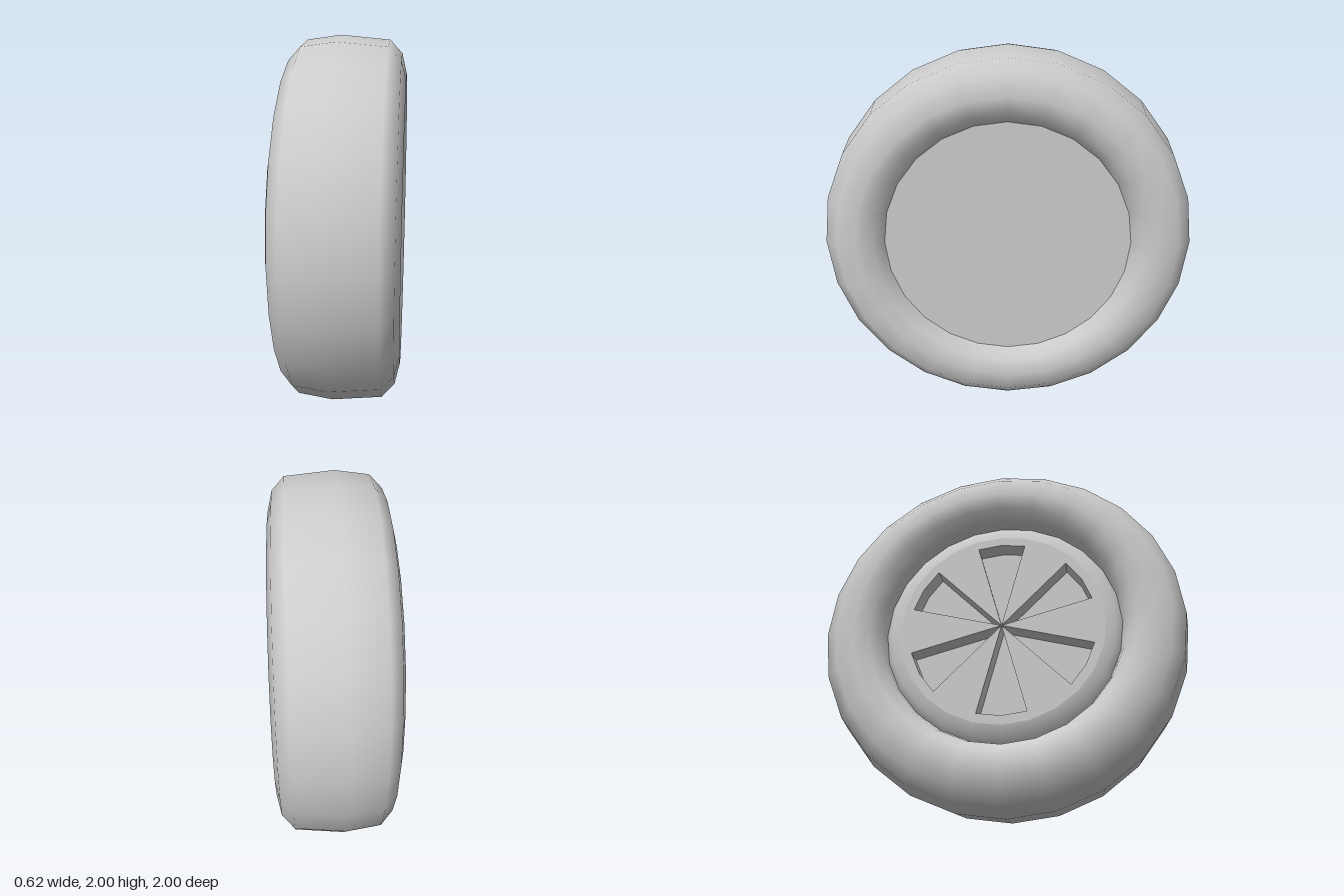
import * as THREE from 'three';

const SIDES = 24;
const STEP = Math.PI / 12;
const material = new THREE.MeshStandardMaterial({ color: 0xcccccc });

// Add a mesh to a parent under a plain name
function add(parent, name, geometry) {
  const mesh = new THREE.Mesh(geometry, material);
  mesh.name = name;
  parent.add(mesh);
  return mesh;
}

// Revolve [axial, radius] points around the x axis
function revolve(points) {
  const geometry = new THREE.LatheGeometry(points.map(([a, r]) => new THREE.Vector2(r, a)), SIDES);
  return geometry.rotateZ(-Math.PI / 2);
}

export function createModel() {
  const model = new THREE.Group();
  model.name = 'wheel';
  const wheel = new THREE.Group();
  wheel.name = 'wheelAssembly';
  wheel.position.y = 1;
  model.add(wheel);

  // Tyre: closed rounded section with a slightly crowned tread
  add(wheel, 'tyre', revolve([
    [0, 0.63], [-0.15, 0.645], [-0.22, 0.665], [-0.285, 0.715], [-0.31, 0.8],
    [-0.285, 0.905], [-0.22, 0.975], [-0.04, 1], [0.22, 0.975], [0.285, 0.905],
    [0.31, 0.8], [0.285, 0.715], [0.22, 0.655], [0.15, 0.64], [0, 0.63],
  ]));

  const hub = new THREE.Group();
  hub.name = 'hub';
  wheel.add(hub);

  // Hub drum: flat back disc on +x, pocket floor on -x
  const faceX = -0.206, floorX = -0.106, backX = 0.23;
  const drum = new THREE.CylinderGeometry(0.66, 0.66, backX - floorX, SIDES).rotateZ(-Math.PI / 2);
  add(hub, 'hubDrum', drum).position.x = (backX + floorX) / 2;

  // Rounded shoulder between the spoked face and the tyre
  add(hub, 'hubShoulder', revolve([[faceX, 0.56], [-0.19, 0.615], [-0.15, 0.66], [floorX, 0.66]]));

  // Spoked face: six sectors, each a wedge spoke with its piece of outer rim
  const inner = 0.51, outer = 0.56;
  const sector = [
    [0, 0], [inner, 1], [inner, 0], [outer, 0], [outer, 1],
    [outer, 2], [outer, 3], [outer, 4], [inner, 4], [inner, 3],
  ].map(([r, k]) => new THREE.Vector2(-r * Math.sin(k * STEP), r * Math.cos(k * STEP)));
  const spokeGeometry = new THREE.ExtrudeGeometry(new THREE.Shape(sector), {
    depth: floorX - faceX, bevelEnabled: false,
  }).rotateY(Math.PI / 2);
  for (let i = 0; i < 6; i++) {
    const spoke = add(hub, 'spoke' + (i + 1), spokeGeometry);
    spoke.position.x = faceX;
    spoke.rotation.x = i * Math.PI / 3;
  }
  return model;
}
